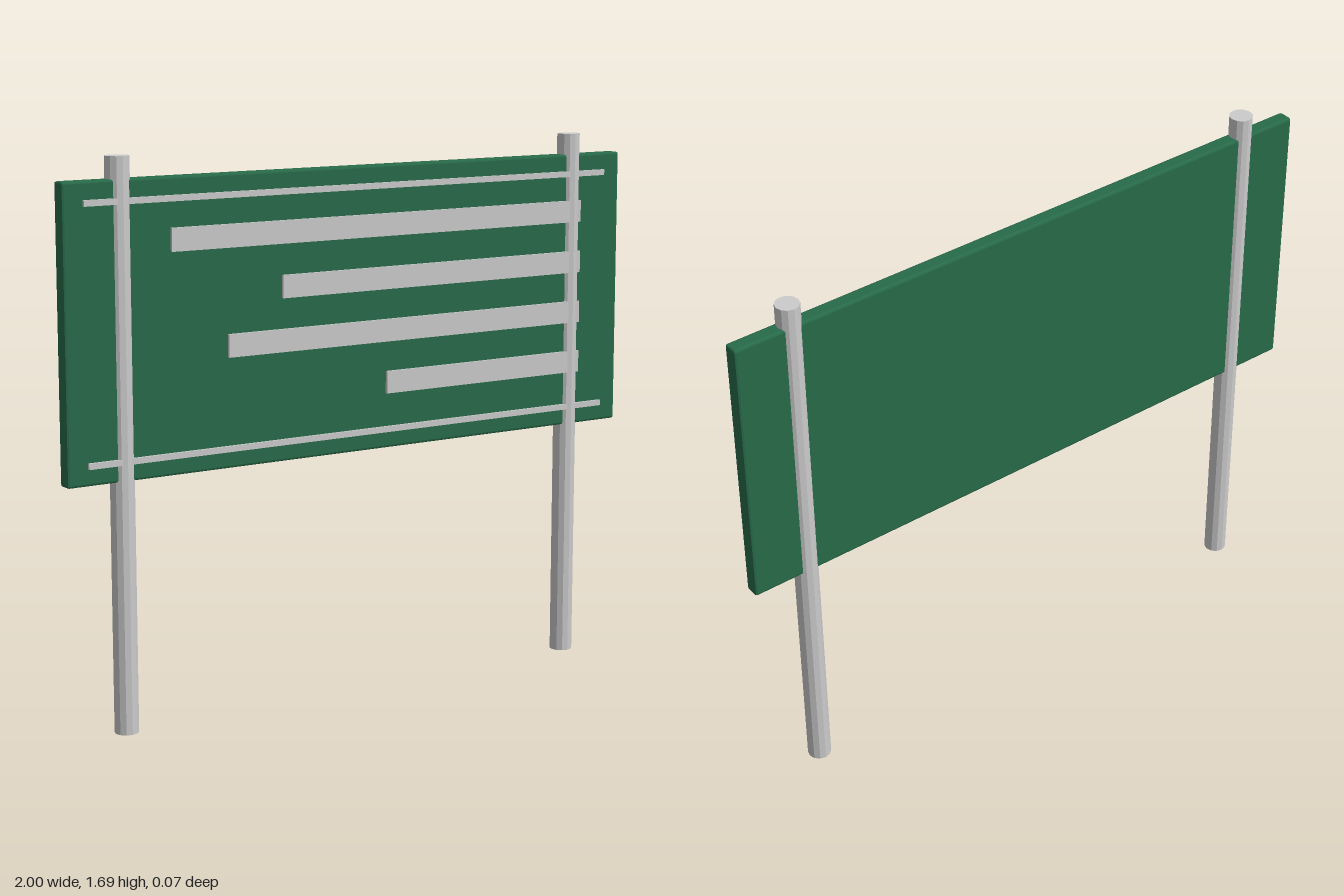
import * as THREE from 'three';
import { RoundedBoxGeometry } from 'three/addons/geometries/RoundedBoxGeometry.js';

const grey = new THREE.MeshStandardMaterial({ color: 0xcccccc, flatShading: true });
const green = new THREE.MeshStandardMaterial({ color: 0x286b4a, flatShading: true });

export function createModel() {
  const model = new THREE.Group();
  model.name = 'roadSign';

  const add = (name, geometry, material, x, y, z = 0) => {
    const mesh = new THREE.Mesh(geometry, material);
    mesh.name = name;
    mesh.position.set(x, y, z);
    model.add(mesh);
  };

  // Panel with slightly bevelled edges
  add('panel', new RoundedBoxGeometry(2, 0.87, 0.047, 1, 0.007), green, 0, 1.19);

  // Twelve-sided posts running through the panel
  const postHeight = 1.69;
  for (const [side, name] of [[1, 'leftPost'], [-1, 'rightPost']]) {
    add(name, new THREE.CylinderGeometry(0.036, 0.036, postHeight, 12), grey, side * 0.812, postHeight / 2);
  }

  // Raised strips on the front, sunk slightly into the panel
  const front = 0.032, back = 0.02;
  const addStrip = (name, x0, x1, y, height) =>
    add(name, new THREE.BoxGeometry(x1 - x0, height, front - back), grey, (x0 + x1) / 2, y, (front + back) / 2);

  // Thin border rules
  addStrip('topRule', -0.935, 0.935, 1.563, 0.018);
  addStrip('bottomRule', -0.935, 0.935, 0.814, 0.018);

  // Text-like bars sharing one end
  [[-0.655, 1.444], [-0.28, 1.282], [-0.468, 1.121], [0.093, 0.96]].forEach(([x0, y], i) =>
    addStrip(`bar${i + 1}`, x0, 0.841, y, 0.069));

  return model;
}
